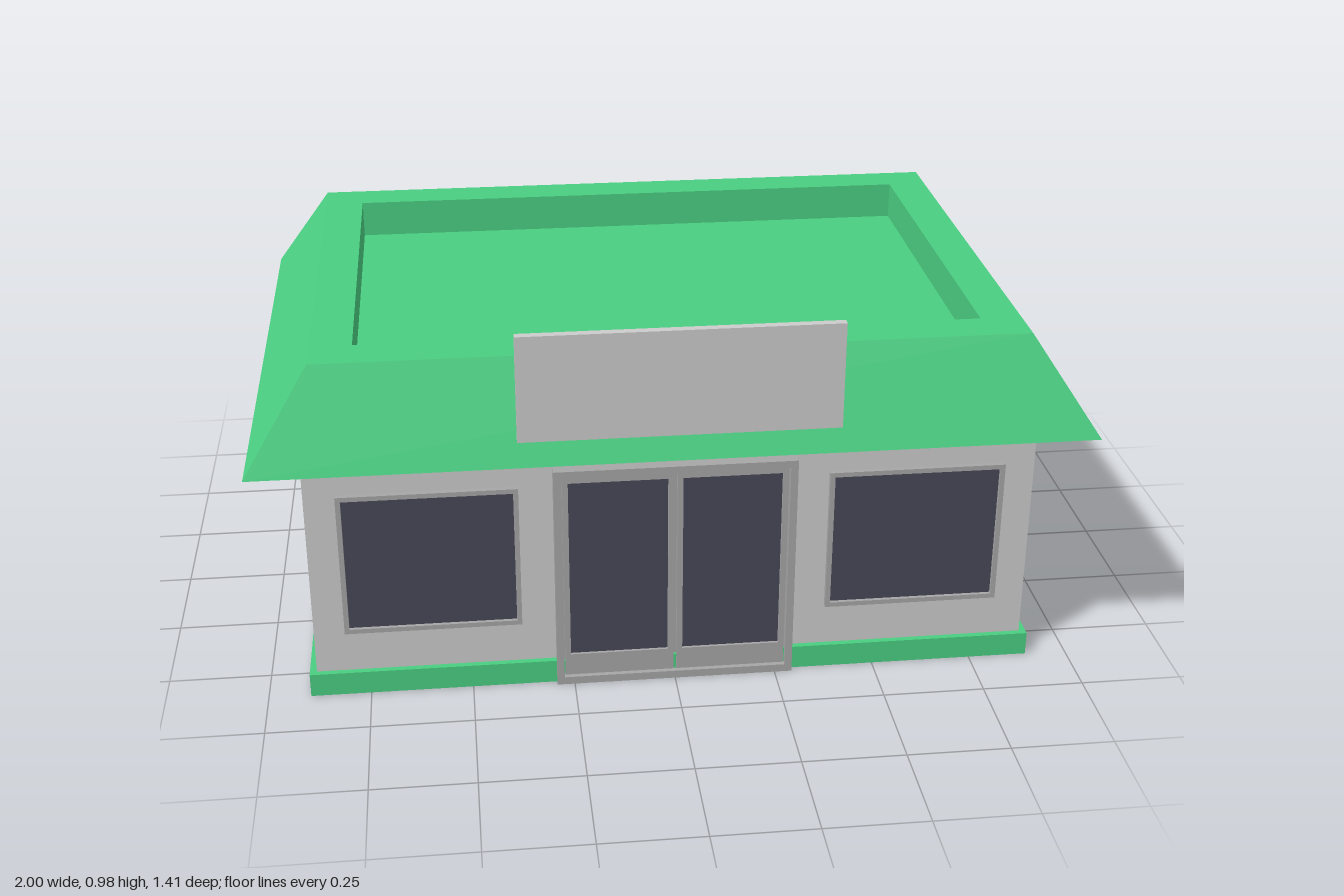
import * as THREE from 'three';

const mat = (color) => new THREE.MeshStandardMaterial({ color, flatShading: true });
const grey = mat(0xcccccc);
const green = mat(0x4ace81);
const trim = mat(0xa6a6a6);
const glass = mat(0x484658);

function add(parent, name, geometry, material) {
  const mesh = new THREE.Mesh(geometry, material);
  mesh.name = name;
  parent.add(mesh);
  return mesh;
}

// Box given by its limits on each axis
function box(parent, name, [x0, x1], [y0, y1], [z0, z1], material) {
  const g = new THREE.BoxGeometry(x1 - x0, y1 - y0, z1 - z0);
  g.translate((x0 + x1) / 2, (y0 + y1) / 2, (z0 + z1) / 2);
  return add(parent, name, g, material);
}

function tracedRect(path, [x0, x1], [y0, y1]) {
  path.moveTo(x0, y0);
  path.lineTo(x1, y0);
  path.lineTo(x1, y1);
  path.lineTo(x0, y1);
  path.closePath();
  return path;
}

// Rectangular frame with an opening, extruded along z
function frameGeometry(xs, ys, holeXs, holeYs, depth) {
  const shape = tracedRect(new THREE.Shape(), xs, ys);
  shape.holes.push(tracedRect(new THREE.Path(), holeXs, holeYs));
  return new THREE.ExtrudeGeometry(shape, { depth, bevelEnabled: false });
}

function frame(parent, name, xs, ys, holeXs, holeYs, [z0, z1], material) {
  const g = frameGeometry(xs, ys, holeXs, holeYs, z1 - z0);
  return add(parent, name, g.translate(0, 0, z0), material);
}

// Surface through rectangular rings [halfX, halfZ, y], capped at the last ring
function ringedSurface(rings) {
  const corner = ([hx, hz, y], k) => [
    [hx, y, hz], [hx, y, -hz], [-hx, y, -hz], [-hx, y, hz],
  ][k % 4];
  const p = [];
  const quad = (a, b, c, d) => p.push(...a, ...b, ...c, ...a, ...c, ...d);
  for (let i = 0; i < rings.length - 1; i++) {
    for (let k = 0; k < 4; k++) {
      quad(corner(rings[i], k), corner(rings[i], k + 1),
        corner(rings[i + 1], k + 1), corner(rings[i + 1], k));
    }
  }
  const last = rings[rings.length - 1];
  quad(...[0, 1, 2, 3].map((k) => corner(last, k)));
  const g = new THREE.BufferGeometry();
  g.setAttribute('position', new THREE.Float32BufferAttribute(p, 3));
  g.computeVertexNormals();
  return g;
}

export function createModel() {
  const model = new THREE.Group();
  model.name = 'shop';

  // Walls and the skirting band around their foot
  box(model, 'walls', [-0.88, 0.88], [0, 0.65], [-0.588, 0.588], grey);
  const band = frameGeometry([-0.897, 0.897], [-0.603, 0.603],
    [-0.88, 0.88], [-0.588, 0.588], 0.06);
  add(model, 'skirting', band.rotateX(-Math.PI / 2), green);

  // Roof: eave underside, slopes, rim and sunken deck
  add(model, 'roof', ringedSurface([
    [0.87, 0.58, 0.65], [1, 0.704, 0.65], [0.845, 0.596, 0.885],
    [0.745, 0.496, 0.885], [0.745, 0.496, 0.79],
  ]), green);

  // Windows either side of the entrance
  for (const side of [-1, 1]) {
    const win = new THREE.Group();
    win.name = side > 0 ? 'leftWindow' : 'rightWindow';
    frame(win, 'windowFrame', [-0.215, 0.215], [0.17, 0.543],
      [-0.203, 0.203], [0.182, 0.531], [0.58, 0.602], trim);
    box(win, 'windowPane', [-0.203, 0.203], [0.182, 0.531], [0.58, 0.593], glass);
    win.position.x = side * 0.59;
    model.add(win);
  }

  // Entrance: surround and two glazed leaves
  const entrance = new THREE.Group();
  entrance.name = 'entrance';
  model.add(entrance);
  frame(entrance, 'doorFrame', [-0.293, 0.293], [0, 0.59],
    [-0.275, 0.275], [0.02, 0.572], [0.58, 0.618], trim);
  for (const side of [-1, 1]) {
    const leaf = new THREE.Group();
    leaf.name = side > 0 ? 'leftDoor' : 'rightDoor';
    frame(leaf, 'doorLeaf', [-0.134, 0.134], [0.022, 0.568],
      [-0.12, 0.12], [0.08, 0.554], [0.58, 0.609], trim);
    box(leaf, 'doorPane', [-0.12, 0.12], [0.08, 0.554], [0.58, 0.602], glass);
    leaf.position.x = side * 0.138;
    entrance.add(leaf);
  }
  box(entrance, 'doorBacking', [-0.275, 0.275], [0.02, 0.572], [0.58, 0.596], trim);

  // Blank sign board held by two brackets off the roof slope
  const sign = new THREE.Group();
  sign.name = 'sign';
  model.add(sign);
  box(sign, 'signBoard', [-0.377, 0.377], [0.713, 0.975], [0.68, 0.7], grey);
  const profile = new THREE.Shape([
    [-0.682, 0.935], [-0.682, 0.75], [-0.655, 0.732], [-0.59, 0.88],
  ].map(([x, y]) => new THREE.Vector2(x, y)));
  for (const side of [-1, 1]) {
    const g = new THREE.ExtrudeGeometry(profile, { depth: 0.034, bevelEnabled: false });
    g.translate(0, 0, -0.017).rotateY(Math.PI / 2);
    const bracket = add(sign, side > 0 ? 'leftBracket' : 'rightBracket', g, grey);
    bracket.position.x = side * 0.247;
  }

  return model;
}
